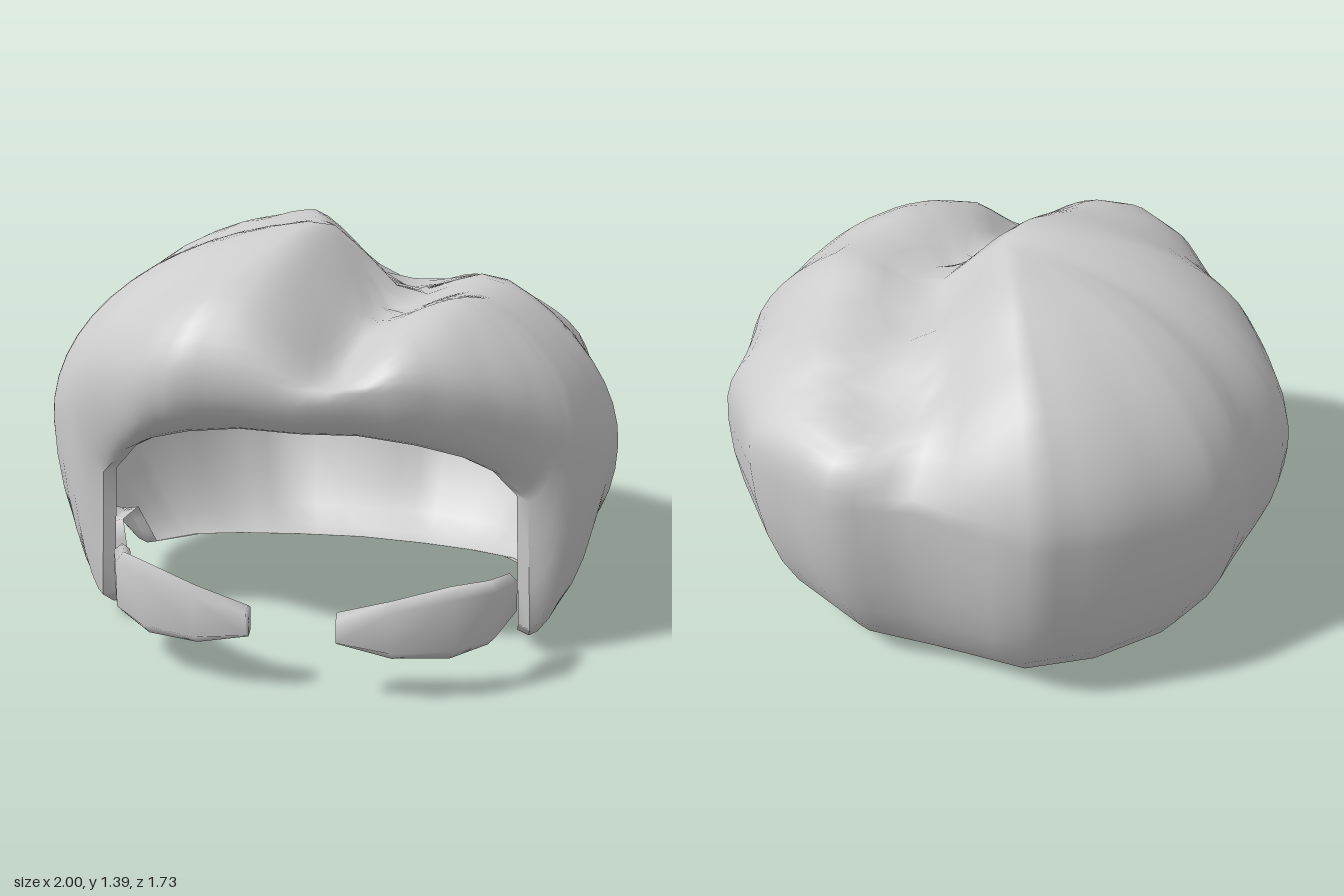
import * as THREE from 'three';
import { mergeVertices } from 'three/addons/utils/BufferGeometryUtils.js';

// Left outline from front to back centre: widest point (x, y, z), lower rim point (x, y, z)
const LEFT = [
  [0, 0.97, 0.72, 0, 0.81, 0.6],
  [0.18, 0.99, 0.715, 0.2, 0.81, 0.58],
  [0.36, 1.0, 0.695, 0.38, 0.78, 0.55],
  [0.55, 0.95, 0.61, 0.52, 0.73, 0.5],
  [0.71, 0.88, 0.51, 0.64, 0.66, 0.45],
  [0.82, 0.8, 0.43, 0.73, 0.56, 0.415],
  [0.88, 0.74, 0.38, 0.75, 0.1, 0.415], // sideburn
  [0.92, 0.7, 0.31, 0.74, 0.04, 0.33],
  [0.96, 0.67, 0.21, 0.76, 0.06, 0.2],
  [0.98, 0.65, 0.13, 0.8, 0.27, 0.15], // gap over the ear
  [1.0, 0.64, 0.02, 0.8, 0.25, -0.04],
  [0.96, 0.65, -0.1, 0.74, 0.1, -0.08],
  [0.92, 0.67, -0.24, 0.7, 0.07, -0.2],
  [0.875, 0.7, -0.42, 0.62, 0.05, -0.32],
  [0.65, 0.76, -0.7, 0.46, 0.02, -0.44],
  [0.3, 0.8, -0.87, 0.26, 0, -0.52],
  [0.03, 0.82, -0.82, 0, 0, -0.54],
];
// Right side: widest (x, z) for the same columns, without the two on the centre line
const RIGHT_WIDEST = [
  [0.18, 0.725], [0.37, 0.73], [0.52, 0.66], [0.67, 0.5], [0.82, 0.4], [0.88, 0.34], [0.93, 0.28],
  [0.98, 0.2], [1.0, 0.15], [1.0, 0.06], [0.945, -0.1], [0.93, -0.23], [0.86, -0.41], [0.62, -0.69], [0.38, -0.86],
];

const { lerp, smoothstep } = THREE.MathUtils;
const material = new THREE.MeshStandardMaterial({ color: 0xcccccc, side: THREE.DoubleSide });

// Surface through rows of points; rows close on themselves
function skin(rows, flip = false) {
  const n = rows[0].length, index = [];
  for (let j = 0; j < rows.length - 1; j++) {
    for (let i = 0; i < n; i++) {
      const k = (i + 1) % n;
      const a = j * n + i, b = j * n + k, c = a + n, d = b + n;
      if (flip) index.push(a, d, b, a, c, d);
      else index.push(a, b, d, a, d, c);
    }
  }
  const geometry = new THREE.BufferGeometry();
  geometry.setAttribute('position', new THREE.Float32BufferAttribute(rows.flat(2), 3));
  geometry.setIndex(index);
  const merged = mergeVertices(geometry, 1e-5);
  merged.computeVertexNormals();
  return merged;
}

function part(name, geometry) {
  const mesh = new THREE.Mesh(geometry, material);
  mesh.name = name;
  return mesh;
}

// Whole outline with extra columns between the key ones
function columns() {
  const right = RIGHT_WIDEST.map(([x, z], i) => {
    const [, ey, , rx, ry, rz] = LEFT[i + 1];
    return [-x, ey, z, -rx, ry, rz];
  });
  const keys = [...LEFT, ...right.reverse()];
  const steps = 3, out = [];
  keys.forEach((key, i) => {
    const next = keys[(i + 1) % keys.length];
    for (let s = 0; s < steps; s++) out.push(key.map((v, m) => lerp(v, next[m], s / steps)));
  });
  return out;
}

// Signed distance from the parting, which wanders along z
function partingDistance(x, z) {
  const middle = z > 0 ? lerp(0.27, 0.12, Math.min(1, z / 0.6)) : lerp(0.27, 0.03, Math.min(1, -z / 0.7));
  return x - middle;
}

// Crown height: a high lobe on the right, a lower one on the left, a notch at the front
function crownHeight(x, z) {
  const d = partingDistance(x, z);
  const wave = 0.012 * Math.sin(z * 15 + x * 4);
  const notch = 0.12 * smoothstep(z, 0.3, 0.65) * Math.exp(-((d / 0.1) ** 2));
  if (d < 0) return lerp(1.13, 1.385, smoothstep(-d, -0.04, 0.33)) + wave - notch;
  const backSlope = 0.18 * smoothstep(-z, 0, 0.6) * smoothstep(d, 0, 0.2);
  return lerp(1.13, 1.33, smoothstep(d, -0.04, 0.36)) + wave - notch - backSlope;
}

// Rows from the rim, out to the widest point and over the crown
function shellRows(cols) {
  const lower = 7, upper = 14, rows = [];
  for (let j = 0; j < lower; j++) {
    const a = (j / lower) * Math.PI / 2;
    const out = Math.sin(a) ** 1.2;
    rows.push(cols.map(([ex, ey, ez, rx, ry, rz]) => [lerp(rx, ex, out), lerp(ey, ry, Math.cos(a)), lerp(rz, ez, out)]));
  }
  for (let j = 0; j <= upper; j++) {
    const a = (j / upper) * Math.PI / 2;
    const c = j === upper ? 0 : Math.cos(a), s = Math.sin(a);
    rows.push(cols.map(([ex, ey, ez]) => {
      const d = partingDistance(ex * c, ez * c);
      const dent = 1 - 0.06 * c * Math.min(1, s * 4) * Math.exp(-((d / 0.09) ** 2));
      const x = ex * c * dent, z = ez * c * dent;
      // the low lobe is fuller towards the back
      const fullness = lerp(1, 0.68, smoothstep(-z, 0.1, 0.5) * smoothstep(d, 0, 0.2));
      return [x, lerp(ey, crownHeight(x, z), s ** fullness), z];
    }));
  }
  return rows;
}

// One open shell, with a narrow lip turned inward along its lower edge
function createHair() {
  const group = new THREE.Group();
  group.name = 'hair';
  const rows = shellRows(columns());
  const lip = rows[0].map(([x, y, z]) => [x * 0.945, y + 0.01, z * 0.95]);
  group.add(part('hairShell', skin(rows)), part('hairLip', skin([lip, rows[0]])));
  return group;
}

// Thin curved brow lofted through flat six-sided sections
function createBrow(name, side) {
  const stations = [ // x, z, bottom, top
    [0.145, 0.835, 0.19, 0.3],
    [0.32, 0.825, 0.15, 0.35],
    [0.5, 0.765, 0.14, 0.39],
    [0.61, 0.67, 0.155, 0.38],
    [0.66, 0.53, 0.2, 0.35],
  ];
  const rows = stations.map(([x, z, low, high], i) => {
    const p = stations[Math.max(0, i - 1)], q = stations[Math.min(stations.length - 1, i + 1)];
    const length = Math.hypot(q[0] - p[0], q[1] - p[1]);
    const nx = -(q[1] - p[1]) / length, nz = (q[0] - p[0]) / length;
    const section = [[0, 0], [0.03, 0.15], [0.03, 0.85], [0, 1], [-0.025, 0.85], [-0.025, 0.15]];
    return section.map(([t, v]) => [side * (x + nx * t) + 0.027, lerp(low, high, v), z + nz * t]);
  });
  const centre = (row) => {
    const c = [0, 1, 2].map((m) => row.reduce((sum, p) => sum + p[m], 0) / row.length);
    return row.map(() => c);
  };
  const loft = [centre(rows[0]), ...rows, centre(rows[rows.length - 1])];
  return part(name, skin(loft, side > 0));
}

export function createModel() {
  const model = new THREE.Group();
  model.name = 'hairAndBrows';
  model.add(createHair(), createBrow('leftBrow', 1), createBrow('rightBrow', -1));
  return model;
}
